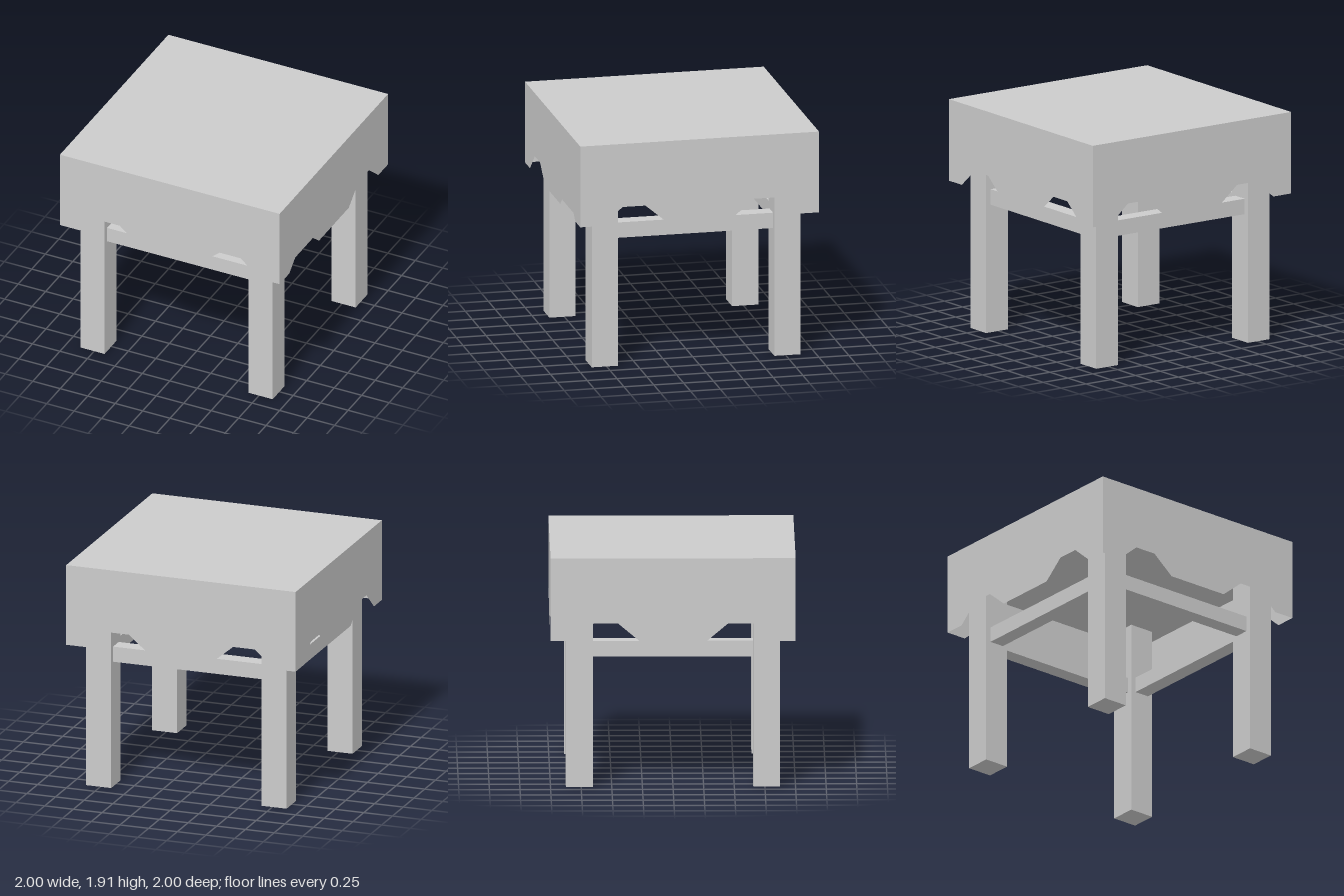
import * as THREE from 'three';

export function createModel() {
  const group = new THREE.Group();
  const mat = new THREE.MeshStandardMaterial({ color: 0xcccccc, flatShading: true });
  const thin = mat.clone();
  thin.side = THREE.DoubleSide;

  const TOP = 1.915, UNDER = 1.665, HEM = 1.23, NOTCH = 1.38;
  const LEG = 0.22, RAIL = 0.13, OFFSET = 0.765;

  const box = (parent, name, w, h, d, x, y, z) => {
    const mesh = new THREE.Mesh(new THREE.BoxGeometry(w, h, d), mat);
    mesh.name = name;
    mesh.position.set(x, y, z);
    parent.add(mesh);
  };

  // Thick table top, just inside the cover
  box(group, 'tableTop', 1.995, TOP - UNDER - 0.003, 1.995, 0, (TOP + UNDER - 0.003) / 2, 0);

  // Thin cover: flat top and four hanging panels with notched hems
  const coverTop = new THREE.Mesh(new THREE.PlaneGeometry(2, 2).rotateX(-Math.PI / 2), thin);
  coverTop.name = 'coverTop';
  coverTop.position.y = TOP;
  group.add(coverTop);

  const hem = [[1, HEM], [0.82, HEM], [0.645, NOTCH], [0.455, NOTCH], [0.275, HEM]];
  const outline = [
    [-1, TOP],
    ...hem.map(([x, y]) => [-x, y]),
    ...hem.slice().reverse(),
    [1, TOP],
  ].map(([x, y]) => new THREE.Vector2(x, y));
  const panelGeometry = new THREE.ShapeGeometry(new THREE.Shape(outline)).translate(0, 0, 1);

  ['front', 'left', 'back', 'right'].forEach((side, i) => {
    const panel = new THREE.Mesh(panelGeometry, thin);
    panel.name = side + 'CoverPanel';
    panel.rotation.y = i * Math.PI / 2;
    group.add(panel);

    // Stretcher rail between two legs
    const rail = new THREE.Group();
    rail.name = side + 'Stretcher';
    rail.rotation.y = i * Math.PI / 2;
    box(rail, 'rail', 2 * OFFSET - LEG, RAIL, RAIL, 0, 1.137, OFFSET);
    group.add(rail);
  });

  // Square legs reaching up to the table top
  for (const [sx, xName] of [[1, 'Left'], [-1, 'Right']]) {
    for (const [sz, zName] of [[1, 'front'], [-1, 'back']]) {
      box(group, zName + xName + 'Leg', LEG, UNDER, LEG, sx * OFFSET, UNDER / 2, sz * OFFSET);
    }
  }

  return group;
}
